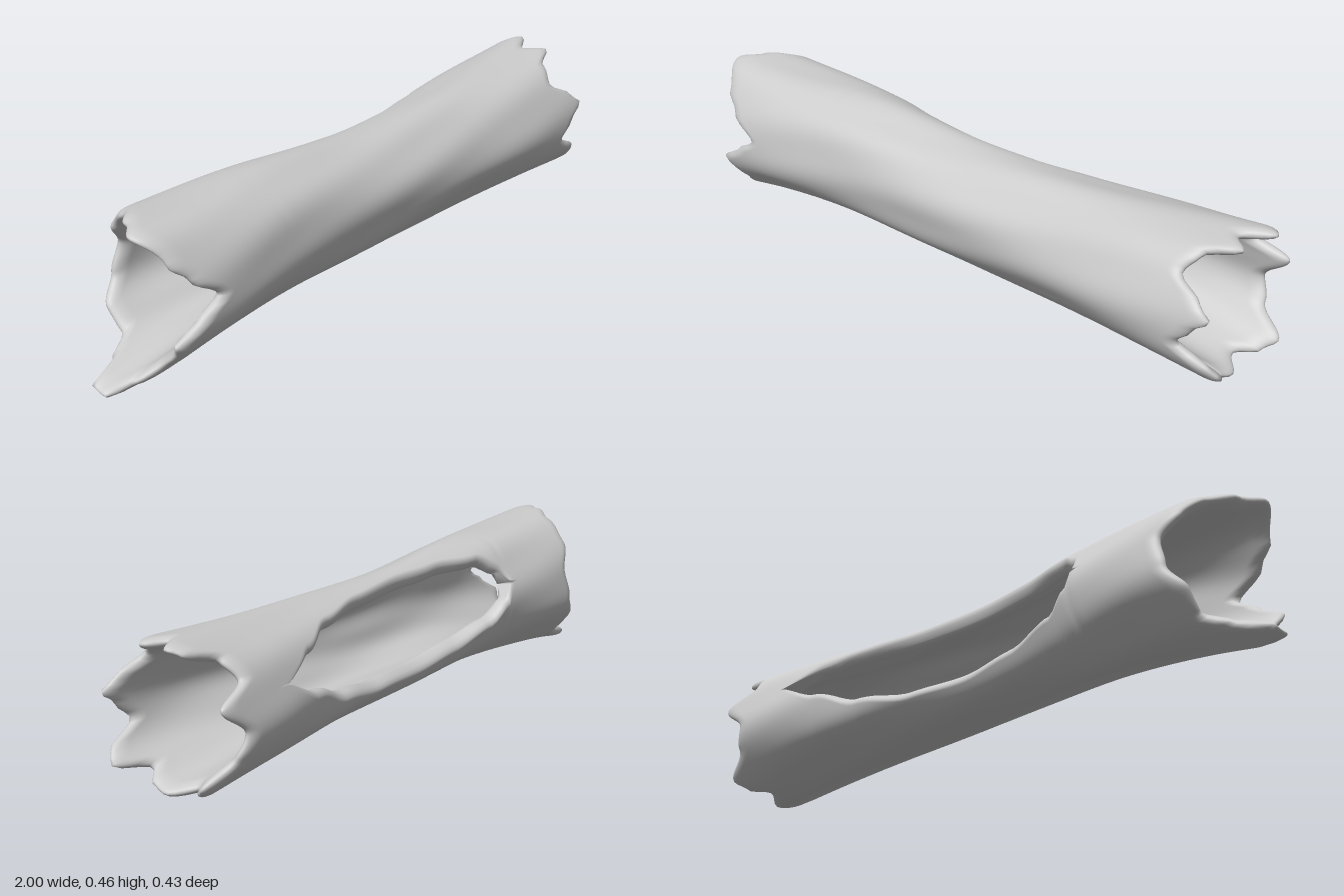
import * as THREE from 'three';
import { mergeVertices } from 'three/addons/utils/BufferGeometryUtils.js';

const RAD = Math.PI / 180;
const smooth = (t) => t * t * (3 - 2 * t);
const roundOff = (d) => { const k = 1 - Math.min(1, Math.max(0, d)); return Math.sqrt(1 - k * k); };

// Eased interpolation through [position, value] pairs
function table(pairs) {
  return (x) => {
    if (x <= pairs[0][0]) return pairs[0][1];
    for (let i = 1; i < pairs.length; i++) {
      const [x0, v0] = pairs[i - 1], [x1, v1] = pairs[i];
      if (x <= x1) return v0 + (v1 - v0) * smooth((x - x0) / (x1 - x0));
    }
    return pairs[pairs.length - 1][1];
  };
}

// Spline through values at the stations along the log
const stations = [-1, -0.7, -0.4, 0, 0.4, 0.7, 1];
function profile(values) {
  const curve = new THREE.CubicInterpolant(stations, values, 1);
  return (x) => curve.evaluate(Math.min(1, Math.max(-1, x)))[0];
}
const top = profile([0.475, 0.46, 0.455, 0.425, 0.43, 0.447, 0.47]);
const bottom = profile([0.003, 0.055, 0.08, 0.077, 0.07, 0.055, 0.03]);
const front = profile([0.175, 0.185, 0.17, 0.173, 0.182, 0.205, 0.215]);
const back = profile([0.215, 0.21, 0.18, 0.165, 0.18, 0.207, 0.215]);
const thickness = profile([0.03, 0.04, 0.05, 0.052, 0.05, 0.04, 0.03]);

// Broken ends: x by angle in degrees (0 front, 90 top, 180 back, 270 bottom)
const rightEndX = table([
  [0, -0.75], [22, -0.84], [38, -0.89], [70, -0.94], [90, -0.89], [112, -0.83], [140, -0.8],
  [165, -0.75], [190, -0.77], [212, -0.82], [235, -0.82], [250, -0.9], [258, -0.995], [274, -1],
  [284, -0.93], [305, -0.88], [322, -0.88], [336, -0.9], [346, -0.83], [360, -0.75],
]);
const leftEndX = table([
  [0, 0.92], [12, 0.97], [22, 0.93], [40, 0.85], [58, 0.88], [72, 0.97], [88, 0.92], [104, 1],
  [114, 0.98], [126, 0.88], [145, 0.86], [162, 0.96], [185, 0.88], [205, 0.9], [228, 0.98],
  [240, 0.95], [254, 0.89], [276, 0.94], [290, 0.93], [302, 0.89], [318, 0.99], [328, 0.97],
  [344, 0.87], [360, 0.92],
]);

// Half angle of the long opening in the back, and its middle angle
const openingHalf = table([
  [-0.46, 0], [-0.43, 14], [-0.35, 32], [-0.18, 46], [0, 52], [0.2, 48], [0.4, 35], [0.56, 16], [0.67, 0],
]);
const OPENING_ANGLE = 161;

function shellGeometry(lengthSteps, roundSteps) {
  const positions = [], index = [], half = [];
  const ring = 2 * (roundSteps + 1);

  for (let i = 0; i <= lengthSteps; i++) {
    const s = 0.5 - 0.5 * Math.cos((i / lengthSteps) * Math.PI);
    const x0 = -0.8 + 1.68 * s;
    const h = openingHalf(x0);
    half.push(h);
    const rimWeight = smooth(Math.min(1, h / 20));
    const endRound = roundOff(Math.min(s, 1 - s) / 0.025);

    // Each cross-section runs round the outside, then back round the inside
    for (let k = 0; k < ring; k++) {
      const inside = k > roundSteps;
      const u = (inside ? ring - 1 - k : k) / roundSteps;
      const t = u - 0.8 * Math.sin(u * 2 * Math.PI) / (2 * Math.PI);
      const deg = OPENING_ANGLE + h + t * (360 - 2 * h);
      const wrapped = (deg + 360) % 360;
      const a = deg * RAD;

      const x = x0 + (rightEndX(wrapped) + 0.8) * Math.max(0, 1 - s / 0.3)
        + (leftEndX(wrapped) - 0.88) * Math.max(0, 1 - (1 - s) / 0.25);

      const rimRound = roundOff(Math.min(t, 1 - t) / 0.022);
      const e = endRound * (1 + (rimRound - 1) * rimWeight);
      const th = thickness(x);
      const inset = (th / 2) * (inside ? 1 + e : 1 - e);
      const wobble = 0.003 * Math.sin(5 * a + 4 * x) + 0.002 * Math.sin(8 * a - 7 * x);
      const ry = (top(x) - bottom(x)) / 2 - inset + wobble;
      const rz = (front(x) + back(x)) / 2 - inset + wobble;
      positions.push(x,
        (top(x) + bottom(x)) / 2 + ry * Math.sin(a),
        (front(x) - back(x)) / 2 + rz * Math.cos(a));
    }
  }

  for (let i = 0; i < lengthSteps; i++) {
    const open = half[i] > 0 || half[i + 1] > 0;
    for (let k = 0; k < ring; k++) {
      // The rim strips exist only along the opening
      if (!open && (k === roundSteps || k === ring - 1)) continue;
      const n = (k + 1) % ring;
      const p = i * ring + k, q = i * ring + n, r = p + ring, w = q + ring;
      index.push(p, r, w, p, w, q);
    }
  }

  const geometry = new THREE.BufferGeometry();
  geometry.setAttribute('position', new THREE.Float32BufferAttribute(positions, 3));
  geometry.setIndex(index);
  const merged = mergeVertices(geometry, 1e-5);
  merged.computeVertexNormals();
  return merged;
}

export function createModel() {
  const model = new THREE.Group();
  model.name = 'hollowLog';
  const wood = new THREE.MeshStandardMaterial({ color: 0xcccccc, side: THREE.DoubleSide });
  const shell = new THREE.Mesh(shellGeometry(110, 140), wood);
  shell.name = 'logShell';
  model.add(shell);
  return model;
}
